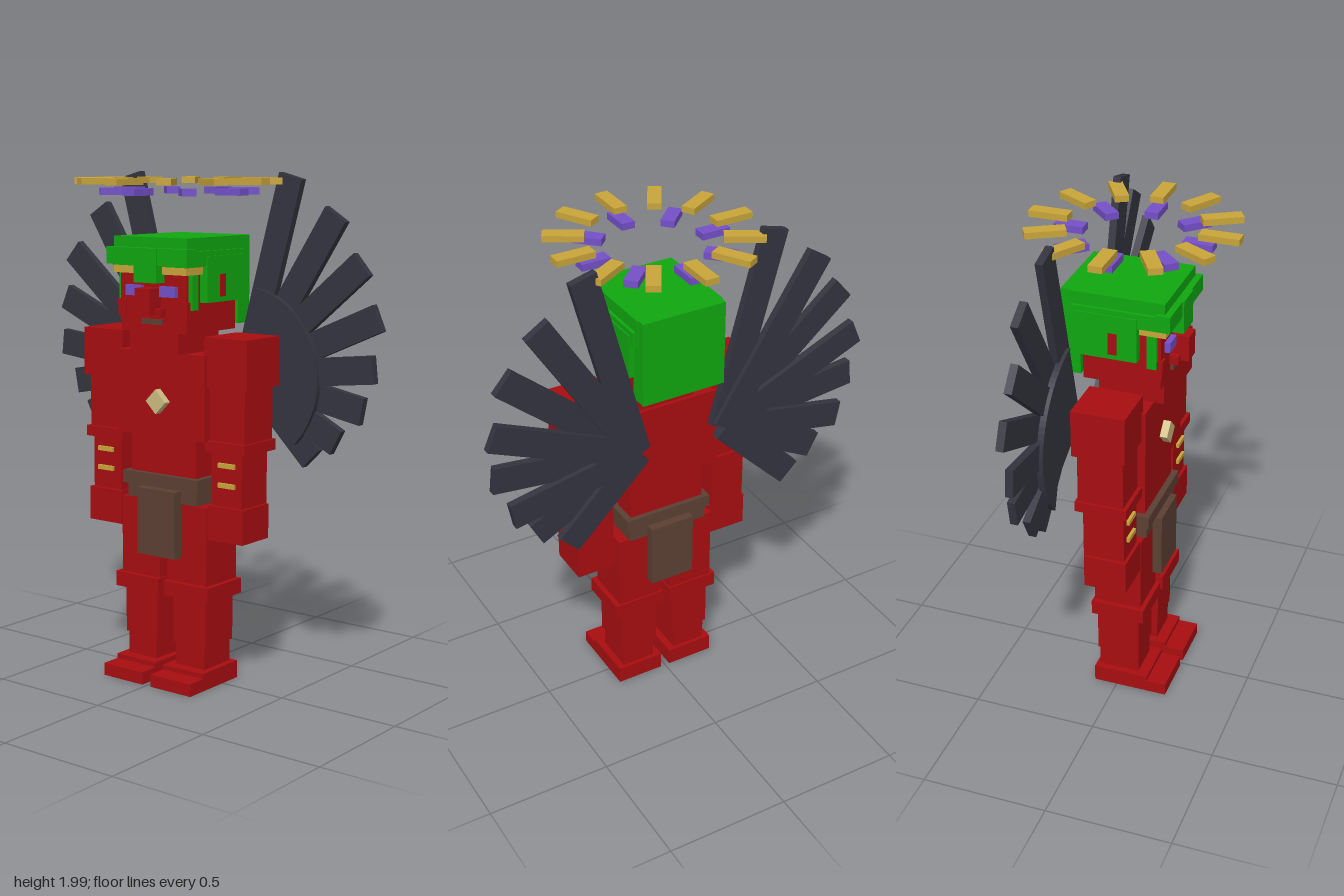
import * as THREE from 'three';

const mat = (name, color) => {
  const m = new THREE.MeshStandardMaterial({ color });
  m.name = name;
  return m;
};

export function createModel() {
  const red = mat('red skin', 0xa80e11);
  const green = mat('green helm', 0x10a810);
  const slate = mat('slate feathers', 0x343440);
  const gold = mat('gold', 0xc9a53a);
  const purple = mat('purple glow', 0x7450c8);
  const brown = mat('brown leather', 0x5c4033);
  const cream = mat('cream gem', 0xcdbb80);

  const model = new THREE.Group();
  model.name = 'wingedWarrior';

  // Box given by its extents on each axis
  const box = (name, m, [x0, x1], [y0, y1], [z0, z1], parent = model) => {
    const mesh = new THREE.Mesh(new THREE.BoxGeometry(x1 - x0, y1 - y0, z1 - z0), m);
    mesh.position.set((x0 + x1) / 2, (y0 + y1) / 2, (z0 + z1) / 2);
    mesh.name = name;
    parent.add(mesh);
    return mesh;
  };
  // Box centred on x = 0
  const mid = (name, m, w, y, z) => box(name, m, [-w, w], y, z);
  // Pair of boxes mirrored across x = 0
  const pair = (name, m, [x0, x1], y, z) => {
    box(name + 'Left', m, [x0, x1], y, z);
    box(name + 'Right', m, [-x1, -x0], y, z);
  };

  // Legs
  pair('toe', red, [0.02, 0.217], [0, 0.05], [0.12, 0.21]);
  pair('heel', red, [0.02, 0.217], [0, 0.07], [-0.095, 0.13]);
  pair('ankle', red, [0.05, 0.19], [0.07, 0.16], [-0.08, 0.085]);
  pair('shin', red, [0.04, 0.2], [0.16, 0.35], [-0.085, 0.09]);
  pair('knee', red, [0.015, 0.23], [0.35, 0.41], [-0.1, 0.118]);
  pair('thigh', red, [0.02, 0.21], [0.41, 0.72], [-0.093, 0.1]);

  // Torso, belt and loincloth
  mid('waist', red, 0.16, [0.7, 0.98], [-0.1, 0.1]);
  mid('chest', red, 0.215, [0.98, 1.31], [-0.115, 0.12]);
  mid('neck', red, 0.115, [1.31, 1.4], [-0.1, 0.11]);
  mid('belt', brown, 0.185, [0.78, 0.83], [-0.12, 0.125]);
  mid('lowerBelt', brown, 0.17, [0.725, 0.78], [-0.11, 0.11]);
  mid('frontCloth', brown, 0.093, [0.51, 0.775], [0.11, 0.148]);
  mid('backCloth', brown, 0.093, [0.51, 0.775], [-0.148, -0.11]);
  const gem = box('chestGem', cream, [-0.034, 0.034], [1.086, 1.154], [0.12, 0.15]);
  gem.rotation.z = Math.PI / 4;

  // Arms
  pair('shoulder', red, [0.2, 0.4], [1.19, 1.38], [-0.105, 0.105]);
  pair('upperArm', red, [0.215, 0.38], [0.98, 1.19], [-0.09, 0.09]);
  pair('elbowCuff', red, [0.205, 0.39], [0.943, 0.985], [-0.1, 0.105]);
  pair('forearm', red, [0.225, 0.367], [0.73, 0.945], [-0.075, 0.088]);
  pair('hand', red, [0.215, 0.38], [0.6, 0.735], [-0.07, 0.1]);
  for (const y of [0.81, 0.887]) pair('armBand', gold, [0.262, 0.338], [y, y + 0.018], [0.08, 0.1]);

  // Head and face
  mid('jaw', red, 0.12, [1.31, 1.4], [0, 0.16]);
  mid('head', red, 0.16, [1.39, 1.66], [-0.145, 0.16]);
  mid('nose', red, 0.037, [1.46, 1.56], [0.16, 0.228]);
  mid('upperLip', red, 0.062, [1.45, 1.485], [0.16, 0.195]);
  mid('mouth', brown, 0.05, [1.42, 1.44], [0.16, 0.172]);
  pair('cheek', red, [0.13, 0.168], [1.445, 1.51], [0.1, 0.168]);
  pair('eye', purple, [0.045, 0.12], [1.527, 1.567], [0.16, 0.182]);
  pair('ear', red, [0.16, 0.199], [1.525, 1.61], [-0.033, 0]);
  pair('templeBand', gold, [0.06, 0.175], [1.612, 1.64], [0.08, 0.183]);

  // Helm
  mid('helmCrown', green, 0.178, [1.64, 1.75], [-0.19, 0.18]);
  mid('helmBrim', green, 0.195, [1.645, 1.71], [0.15, 0.205]);
  mid('browGuard', green, 0.055, [1.58, 1.71], [0.16, 0.212]);
  mid('helmBack', green, 0.172, [1.41, 1.75], [-0.223, -0.15]);
  pair('helmSide', green, [0.16, 0.195], [1.505, 1.68], [-0.16, 0.078]);
  pair('helmRim', green, [0.15, 0.19], [1.642, 1.7], [-0.18, 0.16]);
  pair('sideburn', green, [0.155, 0.178], [1.48, 1.612], [0.11, 0.148]);

  // Wings: fan of feathers shortening from the top down, over a rounded base
  for (const s of [1, -1]) {
    const wing = new THREE.Group();
    wing.name = s > 0 ? 'leftWing' : 'rightWing';
    wing.position.set(s * 0.185, 1.205, 0);
    for (let i = 0; i < 8; i++) {
      const len = 0.8 - 0.053 * i;
      const feather = new THREE.Group();
      feather.name = 'feather';
      const z = i % 2 ? -0.209 : -0.19;
      box('featherBlade', slate, [-0.053, 0.053], [0, len], [z - 0.015, z + 0.015], feather);
      feather.rotation.z = -s * THREE.MathUtils.degToRad(15 + i * 17.14);
      wing.add(feather);
    }
    const a0 = THREE.MathUtils.degToRad(-45), a1 = THREE.MathUtils.degToRad(80);
    const sector = new THREE.Shape();
    sector.moveTo(0, 0);
    if (s > 0) sector.absarc(0, 0, 0.35, a0, a1, false);
    else sector.absarc(0, 0, 0.35, Math.PI - a1, Math.PI - a0, false);
    const base = new THREE.Mesh(
      new THREE.ExtrudeGeometry(sector, { depth: 0.025, bevelEnabled: false, curveSegments: 16 }), slate);
    base.position.z = -0.185;
    base.name = 'wingBase';
    wing.add(base);
    model.add(wing);
  }

  // Halo: two rings of floating bars
  const ring = (name, m, count, r0, r1, y) => {
    const halo = new THREE.Group();
    halo.name = name;
    for (let i = 0; i < count; i++) {
      const arm = new THREE.Group();
      arm.name = 'haloRay';
      box('haloBar', m, [-0.027, 0.027], y, [r0, r1], arm);
      arm.rotation.y = (i / count) * Math.PI * 2;
      halo.add(arm);
    }
    model.add(halo);
  };
  ring('outerHalo', gold, 12, 0.25, 0.403, [1.945, 1.97]);
  ring('innerHalo', purple, 8, 0.19, 0.305, [1.905, 1.932]);

  return model;
}
